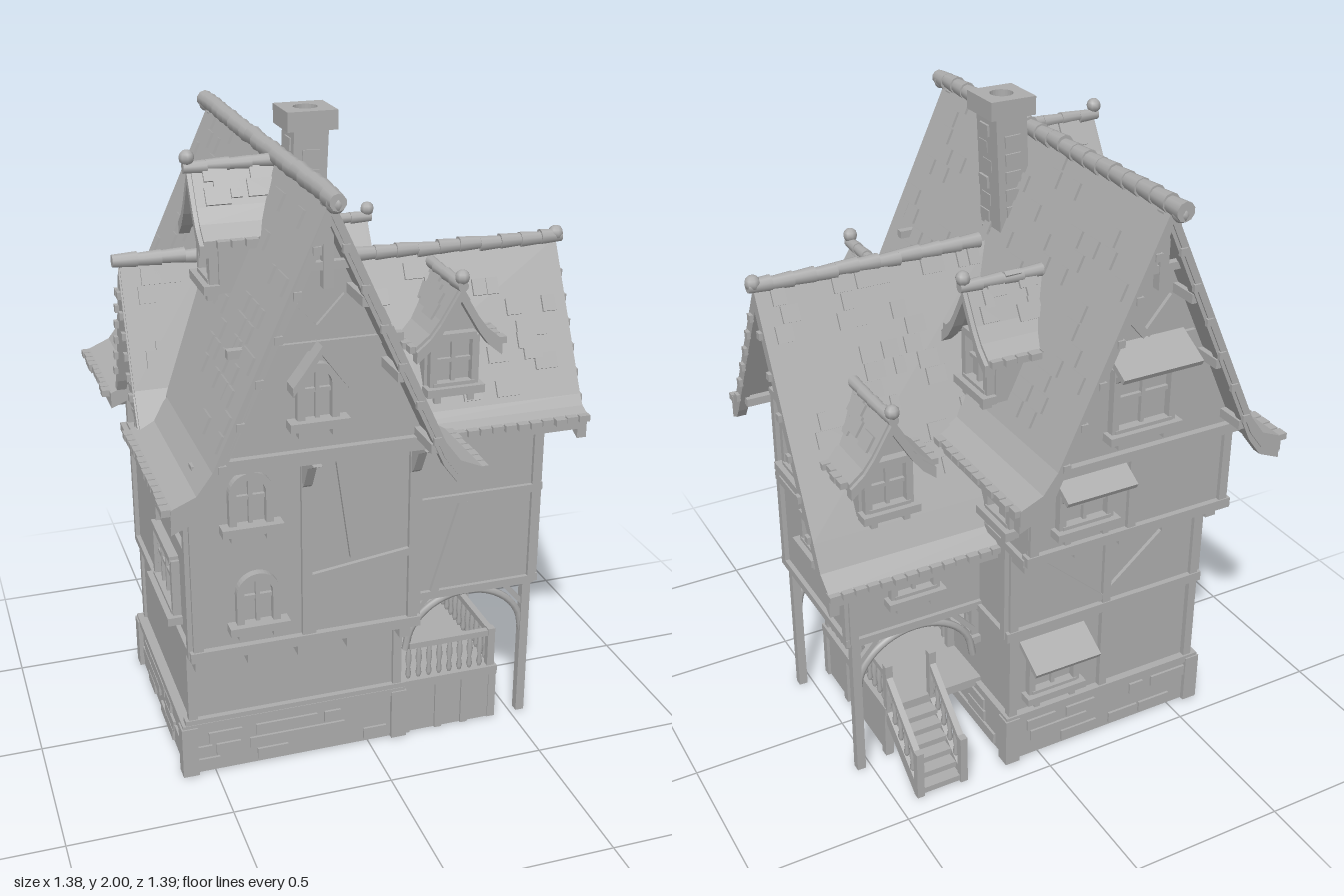
import * as THREE from 'three';

const grey = new THREE.MeshStandardMaterial({ color: 0xacacac });
grey.name = 'plain grey';
const V = (x, y, z) => new THREE.Vector3(x, y, z);
let seed = 7;
const rnd = () => (seed = (seed * 16807) % 2147483647) / 2147483647;

function add(parent, name, geo, x = 0, y = 0, z = 0) {
  const m = new THREE.Mesh(geo, grey);
  m.name = name;
  m.position.set(x, y, z);
  parent.add(m);
  return m;
}
function group(parent, name, x = 0, y = 0, z = 0, turn = 0) {
  const g = new THREE.Group();
  g.name = name;
  g.position.set(x, y, z);
  g.rotation.y = turn;
  parent.add(g);
  return g;
}
// box given by its limits
const block = (p, name, x0, x1, y0, y1, z0, z1) => add(p, name,
  new THREE.BoxGeometry(x1 - x0, y1 - y0, z1 - z0), (x0 + x1) / 2, (y0 + y1) / 2, (z0 + z1) / 2);
// square timber between two points
function beam(p, name, a, b, w = 0.025, d = w) {
  const dir = b.clone().sub(a);
  const m = add(p, name, new THREE.BoxGeometry(w, dir.length(), d));
  m.position.copy(a).lerp(b, 0.5);
  m.quaternion.setFromUnitVectors(V(0, 1, 0), dir.normalize());
  return m;
}
// outline extruded along z from z0 to z1
function prism(p, name, pts, z0, z1) {
  const s = new THREE.Shape(pts.map(q => new THREE.Vector2(q[0], q[1])));
  return add(p, name, new THREE.ExtrudeGeometry(s, { depth: z1 - z0, bevelEnabled: false }), 0, 0, z0);
}
const band = (pts, t) => [...pts, ...pts.map(q => [q[0], q[1] - t]).reverse()];
const flip = pts => pts.map(q => [-q[0], q[1]]);

// one roof slope with loose shingles; profile runs from ridge to eave
function slope(p, name, pts, z0, z1, t = 0.05, count = 0) {
  prism(p, name, band(pts, t), z0, z1);
  const [a, b] = [pts[0], pts[1]], ang = Math.atan2(b[1] - a[1], b[0] - a[0]);
  for (let i = 0; i < count; i++) {
    const k = Math.round((0.08 + 0.86 * rnd()) * 14) / 14 - 0.02;
    const s = add(p, 'shingle', new THREE.BoxGeometry(0.05, 0.016, 0.025 + rnd() * 0.05),
      a[0] + (b[0] - a[0]) * k, a[1] + (b[1] - a[1]) * k, z0 + 0.04 + rnd() * (z1 - z0 - 0.08));
    s.rotation.z = ang;
  }
  // uneven tile ends along the eave
  const e = pts[pts.length - 1];
  for (let z = z0 + 0.02; z < z1 - 0.01; z += 0.04)
    add(p, 'eaveTile', new THREE.BoxGeometry(0.03 + rnd() * 0.02, 0.02, 0.034), e[0], e[1] - 0.008, z);
}
// overlapping round ridge tiles
function ridge(p, y, z0, z1, r) {
  const n = Math.max(3, Math.round((z1 - z0) / 0.065)), l = (z1 - z0) / n;
  for (let i = 0; i < n; i++)
    add(p, 'ridgeTile', new THREE.CylinderGeometry(r * 0.88, r * 1.08, l * 1.05, 10), 0, y + (rnd() - 0.5) * 0.006, z0 + l * (i + 0.5)).rotation.x = Math.PI / 2;
}
// bargeboard with studs
function barge(p, pts, z, front, t = 0.06) {
  prism(p, 'bargeboard', band(pts.map(q => [q[0], q[1] - 0.015]), t), z - 0.015, z + 0.015);
  const [a, b] = pts;
  for (let k = 0.12; k < 1; k += 0.16) add(p, 'stud', new THREE.BoxGeometry(0.022, 0.022, 0.012),
    a[0] + (b[0] - a[0]) * k, a[1] + (b[1] - a[1]) * k - 0.05, z + front * 0.02);
}

// window facing +z, centred on its own origin
function makeWindow(p, x, y, z, turn, w, h, opt = {}) {
  const g = group(p, 'window', x, y, z, turn);
  if (opt.arched) {
    const arch = (hw, top) => {
      const s = new THREE.Shape();
      s.moveTo(-hw, -h / 2); s.lineTo(hw, -h / 2); s.lineTo(hw, top - hw);
      s.absarc(0, top - hw, hw, 0, Math.PI); s.lineTo(-hw, -h / 2);
      return s;
    };
    const s = arch(w / 2, h / 2);
    s.holes.push(arch(w / 2 - 0.022, h / 2 - 0.022));
    add(g, 'archFrame', new THREE.ExtrudeGeometry(s, { depth: 0.025, bevelEnabled: false, curveSegments: 10 }));
  } else {
    for (const s of [-1, 1]) {
      block(g, 'jamb', s * w / 2 - 0.011, s * w / 2 + 0.011, -h / 2, h / 2, 0, 0.025);
      block(g, 'rail', -w / 2, w / 2, s * h / 2 - 0.011, s * h / 2 + 0.011, 0, 0.028);
    }
  }
  block(g, 'mullion', -0.006, 0.006, -h / 2, h / 2 - 0.01, 0, 0.014);
  block(g, 'glazingBar', -w / 2, w / 2, -0.006, 0.006, 0, 0.012);
  if (w > 0.2) for (const s of [-1, 1]) block(g, 'mullion', s * w / 4 - 0.006, s * w / 4 + 0.006, -h / 2, h / 2, 0, 0.014);
  block(g, 'sill', -w / 2 - 0.025, w / 2 + 0.025, -h / 2 - 0.025, -h / 2, 0, 0.045);
  for (const s of [-1, 1]) block(g, 'sillBracket', s * w * 0.4 - 0.01, s * w * 0.4 + 0.01, -h / 2 - 0.05, -h / 2 - 0.02, 0, 0.03);
  if (opt.awning) {
    const a = add(g, 'awning', new THREE.BoxGeometry(w + 0.07, 0.018, 0.12), 0, h / 2 + 0.035, 0.05);
    a.rotation.x = 0.5;
    for (const s of [-1, 1]) beam(g, 'awningStrut', V(s * w / 2, h / 2 - 0.05, 0), V(s * w / 2, h / 2 + 0.015, 0.08), 0.014);
  }
  if (opt.hood) for (const s of [-1, 1])
    prism(g, 'hood', band([[0, h / 2 + 0.06], [s * w * 0.42, h / 2 - 0.01], [s * w * 0.68, h / 2 - 0.05]], 0.025), 0, 0.06);
  return g;
}

// small gabled dormer facing +z, origin at its front peak
function dormer(p, x, y, z, turn, len, wallH = 0.35) {
  const g = group(p, 'dormer', x, y, z, turn);
  const pts = [[0, -0.01], [0.06, -0.11], [0.09, -0.15], [0.132, -0.185]];
  for (const q of [pts, flip(pts)]) {
    slope(g, 'dormerRoof', q, -len, 0, 0.03, 7);
    prism(g, 'dormerBarge', band(q.map(v => [v[0], v[1] - 0.012]), 0.035), -0.02, 0.012);
  }
  ridge(g, -0.01, -len, 0.02, 0.018);
  add(g, 'finial', new THREE.SphereGeometry(0.022, 8, 6), 0, 0.015, 0.01);
  prism(g, 'dormerWall', [[-0.085, -wallH], [0.085, -wallH], [0.085, -0.17], [0, -0.05], [-0.085, -0.17]], -len * 0.9, -0.05);
  makeWindow(g, 0, -wallH + 0.1, -0.05, 0, 0.13, 0.15);
}

export function createModel() {
  const house = new THREE.Group();
  house.name = 'timberHouse';
  const RX = -0.235;

  // stone base, hollow underneath
  const base = group(house, 'stoneBase');
  for (const [x0, x1, z0, z1] of [[-0.59, 0.11, 0.22, 0.28], [-0.59, 0.11, -0.42, -0.36], [-0.59, -0.53, -0.36, 0.22], [0.05, 0.11, -0.36, 0.22]])
    block(base, 'baseWall', x0, x1, 0, 0.16, z0, z1);
  block(base, 'baseCap', -0.6, 0.12, 0.155, 0.18, -0.43, 0.29);
  for (let i = 0; i < 34; i++) {
    const w = 0.05 + rnd() * 0.06, y = 0.03 + Math.floor(rnd() * 3) * 0.045, x = -0.54 + rnd() * 0.6, z = -0.37 + rnd() * 0.6;
    add(base, 'stone', new THREE.BoxGeometry(w, 0.038, 0.016), x, y, i % 2 ? 0.28 : -0.42);
    add(base, 'stone', new THREE.BoxGeometry(0.016, 0.038, w), i % 2 ? -0.59 : 0.11, y, z);
  }
  for (const x of [-0.58, 0.1]) for (const z of [-0.41, 0.27]) block(base, 'cornerStone', x - 0.025, x + 0.025, 0, 0.17, z - 0.025, z + 0.025);

  // main block storeys
  block(house, 'groundFloor', -0.57, 0.1, 0.17, 0.49, -0.405, 0.27);
  block(house, 'middleFloor', -0.58, 0.11, 0.48, 1.12, -0.41, 0.39);
  block(house, 'rearOverhang', -0.58, 0.11, 0.82, 1.12, -0.52, -0.4);
  const attic = group(house, 'attic', RX);
  prism(attic, 'gableWalls', [[-0.345, 1.1], [0.345, 1.1], [0.31, 1.16], [0, 1.84], [-0.31, 1.16]], -0.54, 0.5);

  // timbers of the main block
  const T = group(house, 'timbers');
  for (const x of [-0.565, RX, 0.095]) {
    beam(T, 'frontPost', V(x, 0.48, 0.39), V(x, 1.1, 0.39), 0.03);
    prism(group(T, 'gableBracket', x, 0, 0, -Math.PI / 2), 'bracket', [[0.38, 0.97], [0.42, 1.0], [0.46, 1.07], [0.52, 1.1], [0.38, 1.1]], -0.013, 0.013);
    beam(T, 'rearPost', V(x, 0.18, -0.41), V(x, 0.82, -0.41), 0.028);
    beam(T, 'rearUpperPost', V(x, 0.82, -0.52), V(x, 1.1, -0.52), 0.028);
    if (x !== RX) beam(T, 'groundPost', V(x, 0.18, 0.27), V(x, 0.48, 0.27), 0.028);
  }
  for (const x of [-0.55, -0.39, RX, -0.08, 0.09]) {
    block(T, 'frontJoist', x - 0.018, x + 0.018, 0.41, 0.48, 0.26, 0.36);
    block(T, 'rearJoist', x - 0.018, x + 0.018, 0.77, 0.83, -0.5, -0.4);
  }
  for (const [y, z] of [[0.49, 0.395], [0.18, 0.272], [1.135, 0.505], [0.49, -0.412], [0.83, -0.522], [1.11, -0.545]])
    beam(T, 'crossBeam', V(-0.59, y, z), V(0.12, y, z), 0.032);
  for (const x of [-0.582, 0.112]) {
    for (const [y, z0, z1] of [[0.49, -0.41, 0.39], [0.82, -0.52, 0.39], [1.09, -0.52, 0.39]]) beam(T, 'sideBeam', V(x, y, z0), V(x, y, z1), 0.024);
    for (const z of [-0.4, -0.02, 0.38]) beam(T, 'sidePost', V(x, 0.48, z), V(x, 1.1, z), 0.024);
  }
  for (const [x0, y0, x1, y1, z] of [[-0.14, 1.1, -0.09, 0.74, 0.392], [-0.22, 0.69, 0.09, 0.73, 0.392], [-0.22, 0.5, -0.22, 0.7, 0.392],
    [-0.48, 1.45, 0.01, 1.45, 0.5], [RX, 1.49, -0.32, 1.58, 0.5], [RX, 1.49, -0.15, 1.58, 0.5],
    [-0.55, 0.8, -0.22, 0.52, -0.41], [-0.22, 0.52, 0.09, 0.8, -0.41], [-0.4, 1.45, -0.07, 1.45, -0.54], [RX, 1.48, -0.32, 1.58, -0.54], [RX, 1.48, -0.15, 1.58, -0.54]])
    beam(T, 'brace', V(x0, y0, z), V(x1, y1, z), 0.024);

  // main roof; the left eave is interrupted by the cross gable
  const roof = group(house, 'mainRoof', RX);
  const mp = [[0, 1.885], [0.325, 1.18], [0.37, 1.12], [0.44, 1.09]], ml = flip(mp);
  slope(roof, 'rightSlope', mp, -0.64, 0.64, 0.05, 75);
  slope(roof, 'leftSlope', ml, -0.64, -0.22, 0.05, 25);
  slope(roof, 'leftSlope', ml, 0.08, 0.64, 0.05, 40);
  prism(roof, 'leftSlope', band(ml.slice(0, 2), 0.05), -0.22, 0.08);
  ridge(roof, 1.885, -0.69, 0.69, 0.026);
  for (const s of [-1, 1]) {
    for (const q of [mp, ml]) barge(roof, q, s * 0.62, s);
    add(roof, 'finial', new THREE.SphereGeometry(0.026, 8, 6), 0, 1.875, s * 0.67);
    beam(roof, 'kingPost', V(0, 1.64, s * 0.6), V(0, 1.86, s * 0.6), 0.028);
    beam(roof, 'collar', V(-0.07, 1.7, s * 0.6), V(0.07, 1.7, s * 0.6), 0.022);
    for (const [u, y] of [[0.1, 1.6], [0.2, 1.38], [0.3, 1.16]]) for (const e of [-1, 1])
      beam(roof, 'purlin', V(e * u, y, s * 0.48), V(e * u, y, s * 0.63), 0.028);
  }

  // cross gable on the left side
  const cg = group(house, 'crossGable', -0.65, 0, -0.07, -Math.PI / 2);
  const cp = [[0, 1.55], [0.13, 1.2], [0.185, 1.1]];
  for (const q of [cp, flip(cp)]) { slope(cg, 'crossGableRoof', q, -0.26, 0, 0.05, 8); barge(cg, q, -0.01, 1, 0.05); }
  ridge(cg, 1.555, -0.26, 0.02, 0.022);
  prism(cg, 'crossGableWall', [[-0.15, 1.05], [0.15, 1.05], [0.13, 1.16], [0, 1.51], [-0.13, 1.16]], -0.25, -0.065);
  makeWindow(cg, 0, 1.22, -0.065, 0, 0.11, 0.14);

  // side wing over the porch, ridge along x
  const wing = group(house, 'wing', 0, 0, 0.095, Math.PI / 2);
  prism(wing, 'wingWalls', [[-0.185, 0.49], [0.325, 0.49], [0.325, 0.9], [0, 1.52], [-0.185, 1.16]], 0, 0.55);
  const wf = [[0, 1.555], [-0.225, 1.13], [-0.245, 1.1], [-0.28, 1.085]], wb = [[0, 1.555], [0.345, 0.9], [0.385, 0.82], [0.44, 0.78]];
  slope(wing, 'wingFrontSlope', wf, -0.1, 0.655, 0.045, 30);
  slope(wing, 'wingBackSlope', wb, -0.1, 0.655, 0.045, 45);
  ridge(wing, 1.56, -0.06, 0.67, 0.022);
  barge(wing, wf, 0.64, 1); barge(wing, wb, 0.64, 1);
  add(wing, 'finial', new THREE.SphereGeometry(0.024, 8, 6), 0, 1.57, 0.655);
  for (const [x0, y0, x1, y1] of [[-0.19, 0.5, 0.33, 0.5], [-0.19, 0.82, 0.33, 0.82], [-0.19, 1.12, 0.2, 1.12], [-0.17, 0.5, -0.17, 1.12],
    [0.315, 0.5, 0.315, 0.88], [-0.13, 1.25, 0.14, 1.25], [0, 1.26, -0.07, 1.36], [0, 1.26, 0.07, 1.36]])
    beam(wing, 'wingTimber', V(x0, y0, 0.552), V(x1, y1, 0.552), 0.026);
  for (const [u, y] of [[-0.19, 1.1], [0.1, 1.31], [0.2, 1.12], [0.31, 0.91]]) beam(wing, 'purlin', V(u, y, 0.53), V(u, y, 0.64), 0.025);
  for (const [x0, y0, x1, y1, z] of [[0.11, 0.5, 0.55, 0.5, 0.28], [0.11, 0.82, 0.55, 0.82, 0.28], [0.11, 1.09, 0.55, 1.09, 0.28],
    [0.3, 0.81, 0.21, 0.51, 0.28], [0.13, 0.5, 0.13, 1.09, 0.28], [0.54, 0.5, 0.54, 1.1, 0.28], [0.11, 0.5, 0.55, 0.5, -0.23], [0.54, 0.5, 0.54, 0.9, -0.23]])
    beam(T, 'wingTimber', V(x0, y0, z), V(x1, y1, z), 0.026);
  for (const x of [0.27, 0.41, 0.53]) block(T, 'eaveBracket', x - 0.014, x + 0.014, 1.02, 1.09, 0.28, 0.33);

  // dormers
  dormer(house, -0.48, 1.88, 0.155, -Math.PI / 2, 0.23);
  dormer(house, 0.245, 1.53, 0.34, 0, 0.24);
  dormer(house, 0.15, 1.59, -0.225, Math.PI / 2, 0.24);
  dormer(house, 0.425, 1.28, -0.3, Math.PI, 0.25, 0.34);

  // chimney with a hollow cap, leaning a little
  const ch = group(house, 'chimney', -0.135, 0, 0.093);
  const shaft = beam(ch, 'chimneyShaft', V(-0.025, 1.45, 0), V(0, 1.95, 0), 0.1, 0.12);
  for (let i = 0; i < 14; i++) add(shaft, 'stone', new THREE.BoxGeometry(i % 2 ? 0.112 : 0.05, 0.035, i % 2 ? 0.05 : 0.132), (rnd() - 0.5) * 0.01, -0.15 + i * 0.027, (rnd() - 0.5) * 0.07 * (i % 2));
  const cap = new THREE.Shape([[-0.073, -0.073], [0.073, -0.073], [0.073, 0.073], [-0.073, 0.073]].map(q => new THREE.Vector2(...q)));
  cap.holes.push(new THREE.Path().absarc(0, 0, 0.035, 0, Math.PI * 2, true));
  add(ch, 'chimneyCap', new THREE.ExtrudeGeometry(cap, { depth: 0.055, bevelEnabled: false }), 0, 1.945, 0).rotation.x = -Math.PI / 2;

  // windows and door
  const H = Math.PI / 2;
  makeWindow(house, -0.4, 0.98, 0.39, 0, 0.13, 0.16, { arched: true });
  makeWindow(house, -0.385, 0.66, 0.39, 0, 0.13, 0.16, { arched: true });
  makeWindow(house, RX, 1.325, 0.5, 0, 0.12, 0.16, { arched: true, hood: true });
  makeWindow(house, RX, 1.3, -0.54, Math.PI, 0.19, 0.2, { awning: true });
  makeWindow(house, -0.07, 0.98, -0.52, Math.PI, 0.16, 0.13, { awning: true });
  makeWindow(house, -0.05, 0.31, -0.405, Math.PI, 0.16, 0.13, { awning: true });
  makeWindow(house, -0.58, 0.98, -0.23, -H, 0.26, 0.12);
  makeWindow(house, -0.58, 0.64, 0.11, -H, 0.26, 0.18);
  makeWindow(house, 0.55, 1.0, 0.095, H, 0.16, 0.16);
  makeWindow(house, 0.55, 0.76, 0.01, H, 0.1, 0.1);
  makeWindow(house, 0.11, 0.97, -0.38, H, 0.13, 0.13);
  makeWindow(house, 0.1, 0.41, -0.14, H, 0.11, 0.1);
  makeWindow(house, 0.34, 0.69, -0.23, Math.PI, 0.14, 0.13);
  makeWindow(house, 0.1, 0.325, 0.09, H, 0.25, 0.26, { arched: true }).name = 'door';

  // porch deck, posts and arches
  const porch = group(house, 'porch');
  block(porch, 'deck', 0.1, 0.44, 0.165, 0.195, -0.22, 0.285);
  block(porch, 'deckFront', 0.1, 0.43, 0, 0.17, 0.255, 0.275);
  block(porch, 'deckSide', 0.41, 0.43, 0, 0.17, -0.21, 0.27);
  for (const z of [-0.2, 0.1, 0.265]) block(porch, 'deckPost', 0.415, 0.44, 0, 0.19, z - 0.014, z + 0.014);
  for (const x of [0.13, 0.24, 0.33]) block(porch, 'deckBoard', x - 0.012, x + 0.012, 0, 0.17, 0.27, 0.283);
  const arch = (a, b) => add(porch, 'arch', new THREE.TubeGeometry(new THREE.CatmullRomCurve3([0, 1, 2, 3, 4, 5, 6, 7, 8].map(i => {
    const t = Math.PI * i / 8;
    return a.clone().lerp(b, 0.5 - Math.cos(t) / 2).setY(0.3 + Math.sin(t) * 0.18);
  })), 24, 0.012, 6));
  for (const z of [0.26, -0.22]) {
    block(porch, 'tallPost', 0.52, 0.548, 0, 0.5, z - 0.014, z + 0.014);
    arch(V(0.13, 0, z), V(0.53, 0, z));
    for (const [x, e] of [[0.13, 1], [0.53, -1]]) beam(porch, 'spandrel', V(x, 0.4, z), V(x + e * 0.08, 0.49, z), 0.016);
  }

  // railings and balusters
  const baluster = new THREE.LatheGeometry([[0.005, 0], [0.01, 0.015], [0.006, 0.04], [0.011, 0.07], [0.006, 0.11]].map(q => new THREE.Vector2(...q)), 8);
  function railing(a, b, n) {
    beam(porch, 'handrail', a.clone().setY(a.y + 0.12), b.clone().setY(b.y + 0.12), 0.02);
    for (let i = 0; i <= n; i++) { const q = a.clone().lerp(b, i / n); add(porch, 'baluster', baluster, q.x, q.y, q.z); }
  }
  railing(V(0.14, 0.195, 0.265), V(0.42, 0.195, 0.265), 8);
  railing(V(0.42, 0.195, 0.265), V(0.42, 0.195, -0.21), 13);
  block(porch, 'newelPost', 0.408, 0.432, 0.19, 0.33, 0.253, 0.277);

  // stairs behind the deck
  for (let i = 0; i < 6; i++) block(porch, 'stairTread', 0.28, 0.42, 0.145 - i * 0.028, 0.165 - i * 0.028, -0.265 - i * 0.033, -0.22 - i * 0.033);
  for (const x of [0.275, 0.425]) {
    beam(porch, 'stairStringer', V(x, 0.16, -0.21), V(x, 0.015, -0.42), 0.018, 0.045);
    railing(V(x, 0.19, -0.22), V(x, 0.03, -0.42), 5);
    for (const [y, z] of [[0.19, -0.215], [0, -0.425]]) block(porch, 'newelPost', x - 0.012, x + 0.012, y, y + 0.17, z - 0.012, z + 0.012);
  }
  return house;
}
